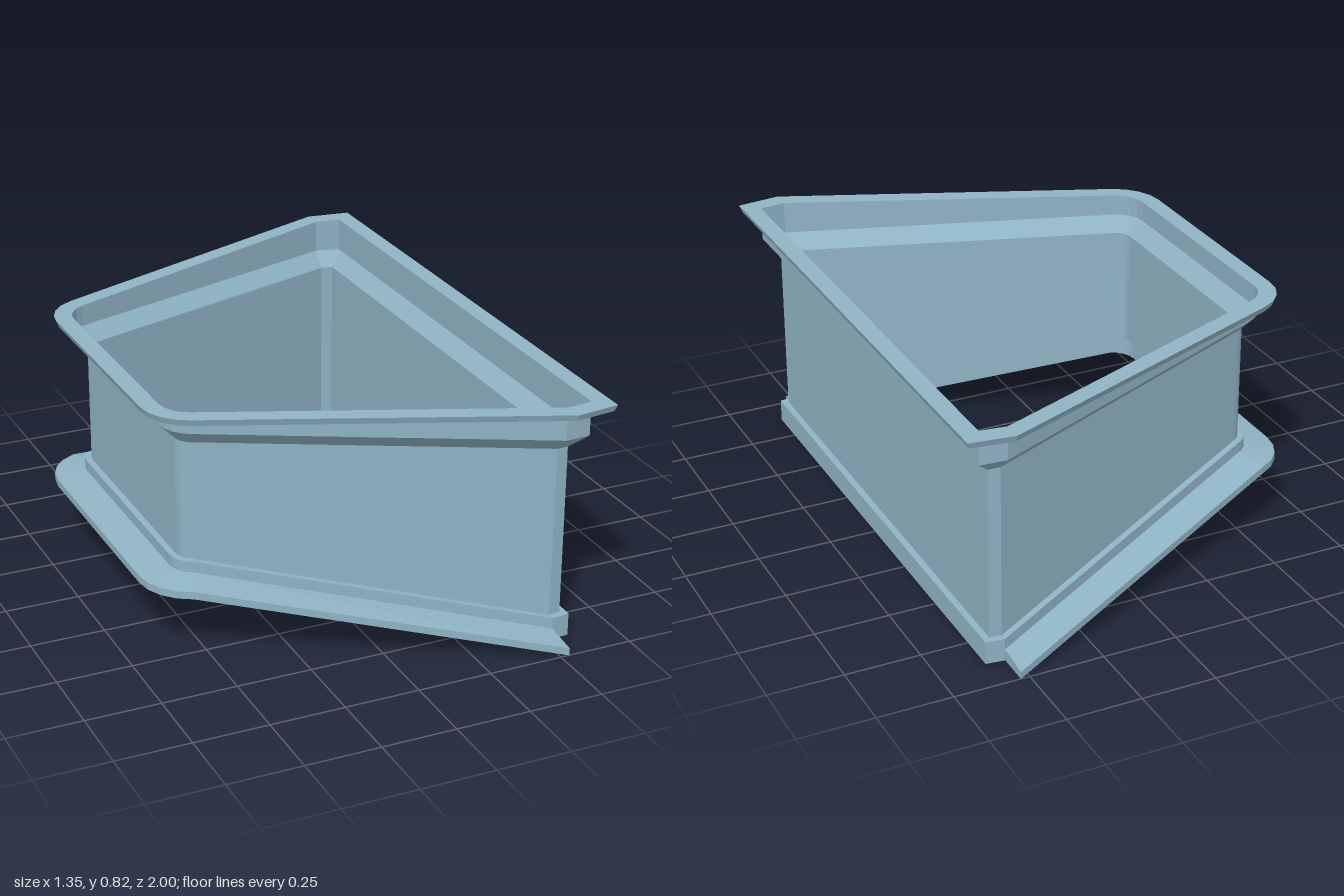
import * as THREE from 'three';

const paint = new THREE.MeshStandardMaterial({ color: 0x8fb3c3, side: THREE.DoubleSide });
paint.name = 'blueGrey';

// Half of the plan outline, pushed outward by d: open end at the +x wall, rounded at -x.
function halfPlan(d) {
  const pts = [[0.53, 0.865 + 1.08 * d]];
  const r = 0.06 + d, steps = 4, sweep = 1.182;
  for (let i = 0; i <= steps; i++) {
    const a = sweep * (1 - i / steps);
    pts.push([-0.49 - r * Math.cos(a), 0.382 + r * Math.sin(a)]);
  }
  return pts;
}

// Whole plan from the +z side round the -x end to the -z side.
function plan(d, closed) {
  const half = halfPlan(d);
  const pts = [...half, ...half.slice().reverse().map(([x, z]) => [x, -z])];
  if (closed) {
    const z = 0.86 + 0.95 * d;
    pts.push([0.57 + d, -z], [0.57 + d, z]);
  }
  return pts;
}

// Heights that follow the sloping base and the sloping shoulder.
const base = (h) => (x) => h + 0.22 * THREE.MathUtils.clamp((0.53 - x) / 1.045, 0, 1);
const shoulder = (h) => (x) => h - 0.037 * x;
const level = (h) => () => h;

// Sweep a profile of [offset, height rule] round the plan.
function sweep(name, profile, closed, solid = false) {
  const rows = profile.map(([d, y]) => plan(d, closed).map(([x, z]) => [x, y(x), z]));
  if (solid) rows.push(rows[0]);
  const pos = [];
  const quad = (a, b, c, d) => pos.push(...a, ...b, ...c, ...a, ...c, ...d);
  const n = rows[0].length;
  for (let j = 0; j < rows.length - 1; j++) {
    for (let i = 0; i < (closed ? n : n - 1); i++) {
      const k = (i + 1) % n;
      quad(rows[j][i], rows[j + 1][i], rows[j + 1][k], rows[j][k]);
    }
  }
  // End caps of an open four-sided sweep
  if (solid && !closed) {
    quad(rows[3][0], rows[2][0], rows[1][0], rows[0][0]);
    quad(rows[0][n - 1], rows[1][n - 1], rows[2][n - 1], rows[3][n - 1]);
  }
  const geo = new THREE.BufferGeometry();
  geo.setAttribute('position', new THREE.Float32BufferAttribute(pos, 3));
  geo.computeVertexNormals();
  const mesh = new THREE.Mesh(geo, paint);
  mesh.name = name;
  return mesh;
}

export function createModel() {
  const group = new THREE.Group();
  group.name = 'taperedDuctFrame';
  group.add(
    // Foot band around the sloping lower edge
    sweep('footBand', [[0.022, base(0)], [0.022, base(0.077)], [0, base(0.077)]], true),
    // Thin main walls
    sweep('walls', [[0, base(0.077)], [0, shoulder(0.679)]], true),
    // Flared shoulder and upright collar
    sweep('collar', [[0, shoulder(0.679)], [0.048, shoulder(0.728)], [0.048, level(0.8)]], true),
    // Rim on top
    sweep('topFlange', [[0.048, level(0.798)], [0.1, level(0.798)], [0.108, level(0.82)], [0.048, level(0.82)]], true, true),
    // Lower flange on three sides, open at the +x wall
    sweep('bottomFlange', [[0.022, base(0)], [0.126, base(0)], [0.126, base(0.025)], [0.022, base(0.04)]], false, true),
  );
  return group;
}
